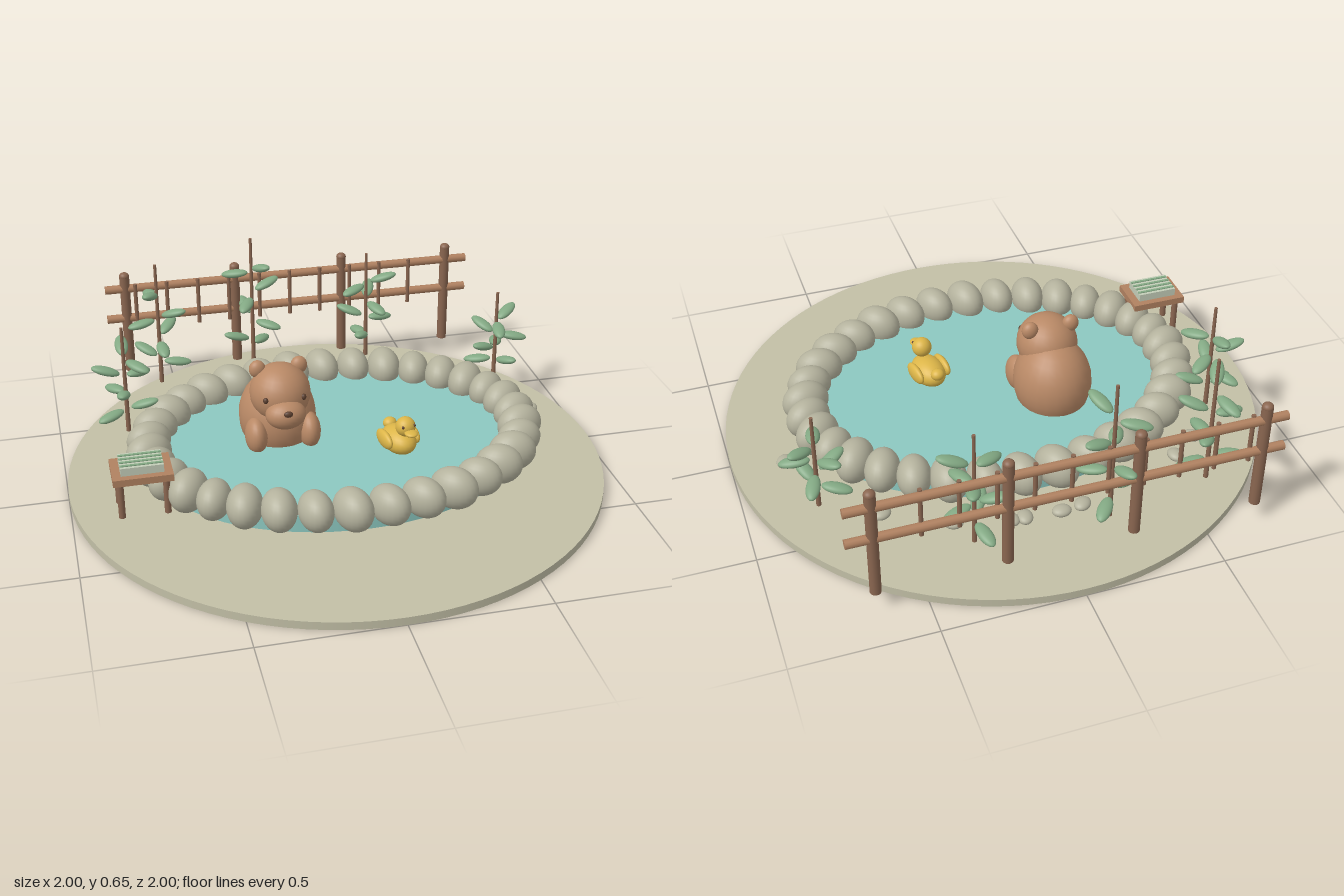
import * as THREE from 'three';

const mat = (name, color) => {
  const m = new THREE.MeshStandardMaterial({ color });
  m.name = name;
  return m;
};

export function createModel() {
  const M = {
    ground: mat('sandGround', 0xc2bfa6),
    stone: mat('stone', 0xb4b29d),
    water: mat('water', 0x8cc8c0),
    fur: mat('brownFur', 0xb98966),
    dark: mat('darkBrown', 0x5c4030),
    wood: mat('lightWood', 0xb08160),
    post: mat('darkWood', 0x8a6650),
    leaf: mat('leafGreen', 0x82a883),
    yellow: mat('duckYellow', 0xdcb548),
    towel: mat('paleTowel', 0xc3cdb8),
  };
  const root = new THREE.Group();
  root.name = 'hotSpring';

  // Helpers
  const group = (name, x = 0, y = 0, z = 0, parent = root) => {
    const g = new THREE.Group();
    g.name = name;
    g.position.set(x, y, z);
    parent.add(g);
    return g;
  };
  const add = (parent, name, geo, material, x, y, z) => {
    const m = new THREE.Mesh(geo, material);
    m.name = name;
    m.position.set(x, y, z);
    parent.add(m);
    return m;
  };
  const ball = new THREE.SphereGeometry(1, 24, 16);
  const blob = (parent, name, material, x, y, z, rx, ry, rz) => {
    const m = add(parent, name, ball, material, x, y, z);
    m.scale.set(rx, ry, rz);
    return m;
  };
  const pole = (parent, name, material, x, z, y0, y1, r, rTop = r) =>
    add(parent, name, new THREE.CylinderGeometry(rTop, r, y1 - y0, 12), material, x, (y0 + y1) / 2, z);

  // Ground and pool
  add(root, 'ground', new THREE.CylinderGeometry(1, 1, 0.03, 96), M.ground, 0, 0.015, 0);
  const water = add(root, 'water', new THREE.CylinderGeometry(1, 1, 0.065, 64), M.water, 0, 0.0975, 0);
  water.scale.set(0.69, 1, 0.53);

  // Ring of leaning rim stones
  const rim = group('poolRim');
  const stones = 34;
  for (let i = 0; i < stones; i++) {
    const t = (i / stones) * Math.PI * 2;
    const s = 1 + 0.04 * Math.sin(i * 2.3);
    const stone = blob(rim, 'rimStone', M.stone, 0.7 * Math.cos(t), 0.155, 0.535 * Math.sin(t),
      0.086 * s, 0.075 * s, 0.063 * s);
    stone.rotation.y = -(t - 0.4);
  }

  // Loose pebbles
  const pebbles = group('pebbles');
  [[-0.03, -0.68], [-0.11, -0.67], [0.1, -0.67], [0.15, -0.665], [0.34, -0.62],
    [0.56, -0.5], [0.82, -0.13], [-0.52, -0.535], [-0.62, -0.455]].forEach(([x, z], i) => {
    blob(pebbles, 'pebble', M.stone, x, 0.085, z, 0.035, 0.018, 0.028).rotation.y = i * 0.7;
  });

  // Bathing bear
  const bear = group('bear', -0.2, 0, 0);
  blob(bear, 'body', M.fur, 0, 0.2, -0.115, 0.145, 0.17, 0.155);
  blob(bear, 'head', M.fur, 0, 0.325, -0.05, 0.113, 0.11, 0.115);
  blob(bear, 'muzzle', M.fur, 0, 0.285, 0.053, 0.075, 0.055, 0.06);
  blob(bear, 'nose', M.dark, 0, 0.31, 0.104, 0.017, 0.012, 0.01);
  for (const s of [-1, 1]) {
    blob(bear, 'ear', M.fur, s * 0.078, 0.412, -0.08, 0.031, 0.034, 0.025);
    blob(bear, 'eye', M.dark, s * 0.07, 0.34, 0.038, 0.01, 0.012, 0.01);
    blob(bear, 'arm', M.fur, s * 0.1, 0.175, -0.01, 0.042, 0.07, 0.065);
  }

  // Floating duck
  const duck = group('duck', 0.21, 0, 0.12);
  duck.rotation.y = 0.2;
  blob(duck, 'body', M.yellow, 0, 0.165, 0, 0.06, 0.05, 0.085);
  blob(duck, 'head', M.yellow, 0, 0.243, 0.05, 0.037, 0.037, 0.037);
  blob(duck, 'beak', M.yellow, 0, 0.236, 0.095, 0.024, 0.01, 0.027);
  blob(duck, 'tail', M.yellow, 0, 0.195, -0.075, 0.026, 0.022, 0.025);
  for (const s of [-1, 1]) {
    blob(duck, 'wing', M.yellow, s * 0.056, 0.175, -0.005, 0.018, 0.033, 0.058);
    blob(duck, 'eye', M.dark, s * 0.023, 0.255, 0.076, 0.005, 0.006, 0.005);
  }

  // Side table with folded towel
  const table = group('sideTable', -0.75, 0, 0.235);
  add(table, 'tableTop', new THREE.BoxGeometry(0.21, 0.026, 0.155), M.wood, 0, 0.232, 0);
  for (const x of [-0.08, 0.08]) {
    for (const z of [-0.05, 0.05]) pole(table, 'tableLeg', M.post, x, z, 0.08, 0.222, 0.012);
  }
  add(table, 'towel', new THREE.BoxGeometry(0.15, 0.03, 0.105), M.towel, 0, 0.26, 0);
  for (const z of [-0.036, -0.012, 0.012, 0.036]) {
    add(table, 'towelStripe', new THREE.BoxGeometry(0.15, 0.004, 0.01), M.leaf, 0, 0.276, z);
  }

  // Fence: posts, two rails and thin slats
  const fence = group('fence', 0, 0, -0.84);
  for (let i = 0; i < 4; i++) {
    const x = -0.68 + 0.45 * i;
    pole(fence, 'fencePost', M.post, x, 0, 0.08, 0.5, 0.02);
    blob(fence, 'postCap', M.post, x, 0.5, 0, 0.02, 0.016, 0.02);
  }
  for (const y of [0.315, 0.445]) {
    const rail = add(fence, 'fenceRail', new THREE.CylinderGeometry(0.017, 0.017, 1.52, 12), M.wood, 0, y, 0);
    rail.rotation.z = Math.PI / 2;
  }
  for (let i = 0; i < 10; i++) pole(fence, 'fenceSlat', M.post, -0.64 + 0.1275 * i, 0.012, 0.27, 0.465, 0.008);

  // Leafy plants: a thin stem with leaves spiralling up it
  [[-0.57, -0.68, 0.605], [-0.175, -0.755, 0.65], [0.3, -0.73, 0.55],
    [0.755, -0.395, 0.475], [-0.745, -0.305, 0.525]].forEach(([x, z, top], p) => {
    const plant = group('plant', x, 0, z);
    pole(plant, 'stem', M.post, 0, 0, 0.09, top, 0.009, 0.006);
    for (let i = 0; i < 8; i++) {
      const arm = group('leafArm', 0, 0.175 + (i * (top - 0.28)) / 7, 0, plant);
      arm.rotation.y = p * 0.9 + i * 2.4;
      const leaf = blob(arm, 'leaf', M.leaf, 0.07, 0, 0, 0.055, 0.016, 0.025);
      leaf.rotation.z = i % 2 ? 0.3 : -0.15;
    }
  });

  return root;
}
